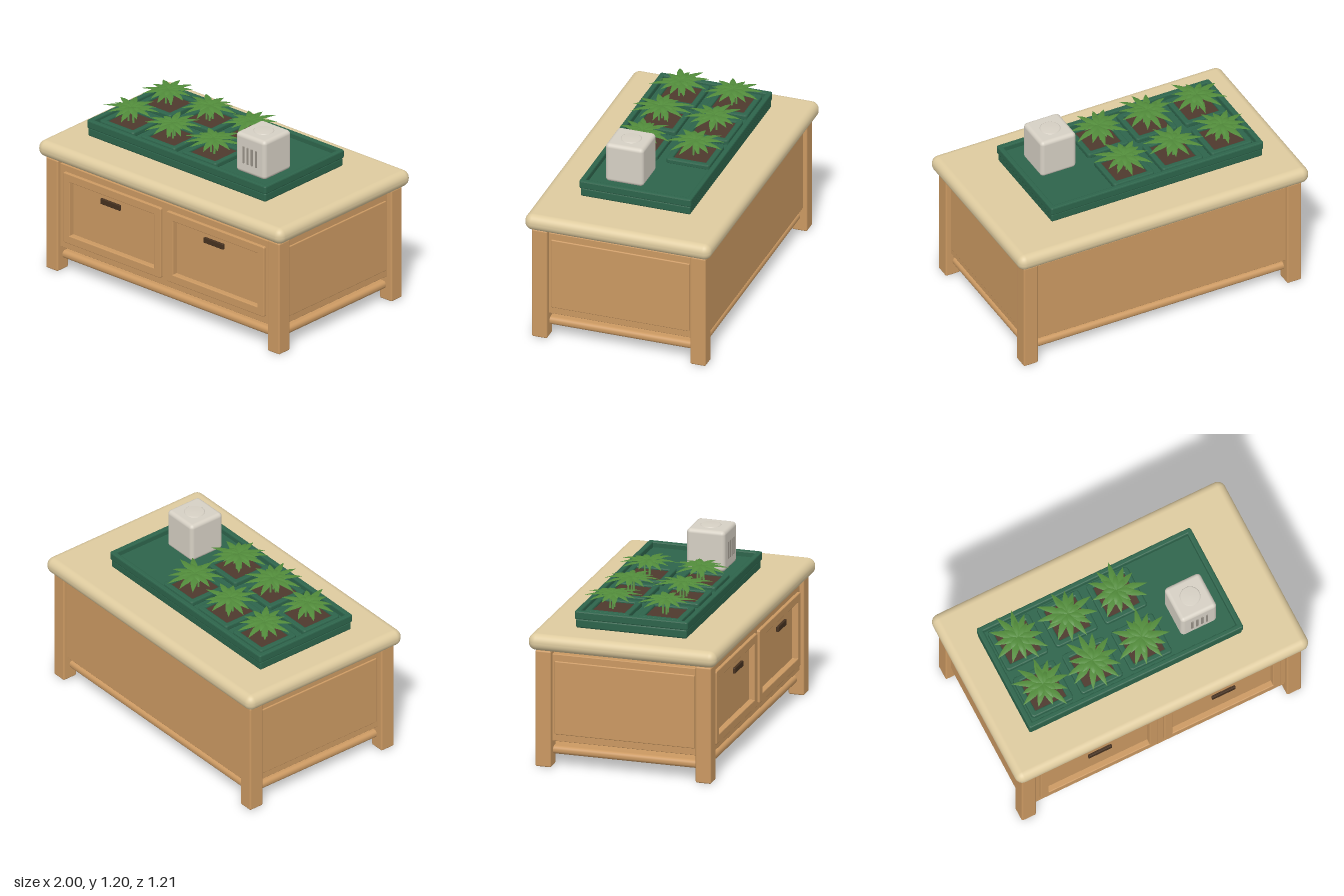
import * as THREE from 'three';
import { RoundedBoxGeometry } from 'three/addons/geometries/RoundedBoxGeometry.js';

const mat = (name, color, extra = {}) => {
  const m = new THREE.MeshStandardMaterial({ color, ...extra });
  m.name = name;
  return m;
};

export function createModel() {
  const model = new THREE.Group();
  model.name = 'plantingBench';
  const M = {
    top: mat('pale wood', 0xdecb9f),
    wood: mat('warm wood', 0xcb9962),
    tray: mat('tray green', 0x2d644b),
    soil: mat('soil', 0x4e392d),
    handle: mat('dark handle', 0x46311f),
    device: mat('warm white', 0xd6d0c4),
    vent: mat('vent grey', 0x969086),
    leaf: mat('leaf green', 0x528c3b, { side: THREE.DoubleSide }),
    stem: mat('stem green', 0x60994a),
  };

  const add = (name, geometry, material, x, y, z, parent = model) => {
    const mesh = new THREE.Mesh(geometry, material);
    mesh.name = name;
    mesh.position.set(x, y, z);
    parent.add(mesh);
    return mesh;
  };
  // Rounded box from its extents on each axis
  const block = (name, material, [x0, x1], [y0, y1], [z0, z1], r = 0.008, parent = model) =>
    add(name, new RoundedBoxGeometry(x1 - x0, y1 - y0, z1 - z0, 4, r), material,
      (x0 + x1) / 2, (y0 + y1) / 2, (z0 + z1) / 2, parent);

  // Rectangle path with rounded corners
  const rect = (path, w, h, r) => {
    const x = w / 2 - r, y = h / 2 - r, q = Math.PI / 2;
    path.absarc(x, y, r, 0, q);
    path.absarc(-x, y, r, q, 2 * q);
    path.absarc(-x, -y, r, 2 * q, 3 * q);
    path.absarc(x, -y, r, 3 * q, 4 * q);
    path.closePath();
    return path;
  };
  // Rectangular frame facing +z, centred, with softened edges
  const frameGeometry = (w, h, border, depth, bevel = 0.005, r = 0.006) => {
    const shape = rect(new THREE.Shape(), w - 2 * bevel, h - 2 * bevel, r);
    shape.holes.push(rect(new THREE.Path(), w - 2 * border + 2 * bevel, h - 2 * border + 2 * bevel, r));
    return new THREE.ExtrudeGeometry(shape, {
      depth: depth - 2 * bevel, bevelEnabled: true, bevelSize: bevel, bevelThickness: bevel,
      bevelSegments: 2, curveSegments: 4,
    }).translate(0, 0, bevel - depth / 2);
  };

  // Table top, legs and lower shelf
  block('tableTop', M.top, [-1, 1], [0.75, 0.856], [-0.605, 0.605], 0.05);
  for (const sx of [-1, 1]) for (const sz of [-1, 1])
    add('leg', new RoundedBoxGeometry(0.098, 0.746, 0.1, 3, 0.01), M.wood, sx * 0.907, 0.373, sz * 0.515);
  block('lowerShelf', M.wood, [-0.91, 0.91], [0.073, 0.125], [-0.52, 0.52], 0.024);

  // Cabinet body with side panels and a face frame around the drawers
  block('cabinetBody', M.wood, [-0.92, 0.92], [0.163, 0.722], [-0.54, 0.505], 0.004);
  for (const s of [-1, 1])
    block('sidePanel', M.wood, [s * 0.92 - 0.008, s * 0.92 + 0.008], [0.208, 0.678], [-0.45, 0.45], 0.006);
  for (const x of [[-0.92, -0.81], [-0.04, 0.04], [0.81, 0.92]])
    block('faceStile', M.wood, x, [0.2, 0.7], [0.49, 0.538], 0.003);
  for (const y of [[0.163, 0.225], [0.67, 0.722]])
    block('faceRail', M.wood, [-0.92, 0.92], y, [0.49, 0.538], 0.003);

  // Drawers with a raised frame, sunken panel and a thin dark pull
  for (const x of [-0.423, 0.423]) {
    const drawer = new THREE.Group();
    drawer.name = 'drawer';
    drawer.position.x = x;
    model.add(drawer);
    add('drawerFrame', frameGeometry(0.8, 0.47, 0.055, 0.065), M.wood, 0, 0.445, 0.525, drawer);
    block('drawerPanel', M.wood, [-0.35, 0.35], [0.26, 0.635], [0.48, 0.52], 0.006, drawer);
    block('drawerPull', M.handle, [-0.08, 0.08], [0.57, 0.606], [0.556, 0.573], 0.004, drawer);
  }

  // Two-step tray: base, raised rim and recessed floor
  block('trayBase', M.tray, [-0.797, 0.657], [0.862, 0.921], [-0.357, 0.357], 0.012);
  add('trayRim', frameGeometry(1.465, 0.728, 0.034, 0.053, 0.008).rotateX(-Math.PI / 2), M.tray, -0.069, 0.944, 0);
  block('trayFloor', M.tray, [-0.775, 0.635], [0.9, 0.935], [-0.34, 0.34], 0.004);

  // Control box with a low round button and front vents
  block('controlBox', M.device, [0.303, 0.546], [0.93, 1.19], [-0.01, 0.238], 0.025);
  const buttonProfile = [[0.064, 0], [0.064, 0.004], [0.058, 0.008], [0, 0.009]].map(p => new THREE.Vector2(...p));
  add('button', new THREE.LatheGeometry(buttonProfile, 32), M.device, 0.424, 1.187, 0.11);
  for (let i = 0; i < 4; i++)
    block('vent', M.vent, [0.366 + i * 0.034, 0.38 + i * 0.034], [1.0, 1.112], [0.235, 0.243], 0.003);

  // Pointed leaf along +x with a raised midrib; r is length, w half width
  const leafGeometry = (r, w, lift) => {
    const rows = [[0, 0.25, 0], [0.25, 0.75, 0.6], [0.5, 1, 1], [0.75, 0.62, 0.8], [1, 0.02, 0.1]];
    const pos = [], idx = [];
    rows.forEach(([t, k, rise], i) => {
      const y = rise * lift - t * 0.009;
      pos.push(t * r, y, -w * k, t * r, y + 0.005 * k, 0, t * r, y, w * k);
      if (i) for (let j = 0; j < 2; j++) {
        const a = (i - 1) * 3 + j, b = a + 3;
        idx.push(a, a + 1, b, b, a + 1, b + 1);
      }
    });
    const g = new THREE.BufferGeometry();
    g.setAttribute('position', new THREE.Float32BufferAttribute(pos, 3));
    g.setIndex(idx);
    g.computeVertexNormals();
    return g;
  };
  let seed = 7;
  const rand = () => (seed = (seed * 16807) % 2147483647) / 2147483647;

  // Six seedling cells, each with soil, stems and a rosette of leaves
  for (const z of [-0.175, 0.165]) for (const x of [-0.61, -0.272, 0.064]) {
    const cell = new THREE.Group();
    cell.name = 'seedlingCell';
    cell.position.set(x, 0, z);
    model.add(cell);
    add('cellRim', frameGeometry(0.284, 0.284, 0.036, 0.035, 0.008, 0.012).rotateX(-Math.PI / 2), M.tray, 0, 0.947, 0, cell);
    block('soil', M.soil, [-0.115, 0.115], [0.92, 0.951], [-0.115, 0.115], 0.004, cell);
    for (let i = 0; i < 3; i++) {
      const a = i * 2.094 + rand();
      add('stem', new THREE.CylinderGeometry(0.005, 0.007, 0.095, 8), M.stem,
        0.02 * Math.cos(a), 0.993, 0.02 * Math.sin(a), cell);
    }
    const spin = rand() * 6;
    for (const [count, length, width, y] of [[12, 0.17, 0.022, 1.035], [8, 0.11, 0.018, 1.045]])
      for (let i = 0; i < count; i++) {
        const leaf = add('leaf', leafGeometry(length * (0.82 + 0.34 * rand()), width, 0.01), M.leaf,
          0, y + rand() * 0.007, 0, cell);
        leaf.rotation.y = spin + ((i + 0.4 * rand()) / count) * Math.PI * 2;
      }
  }
  return model;
}
